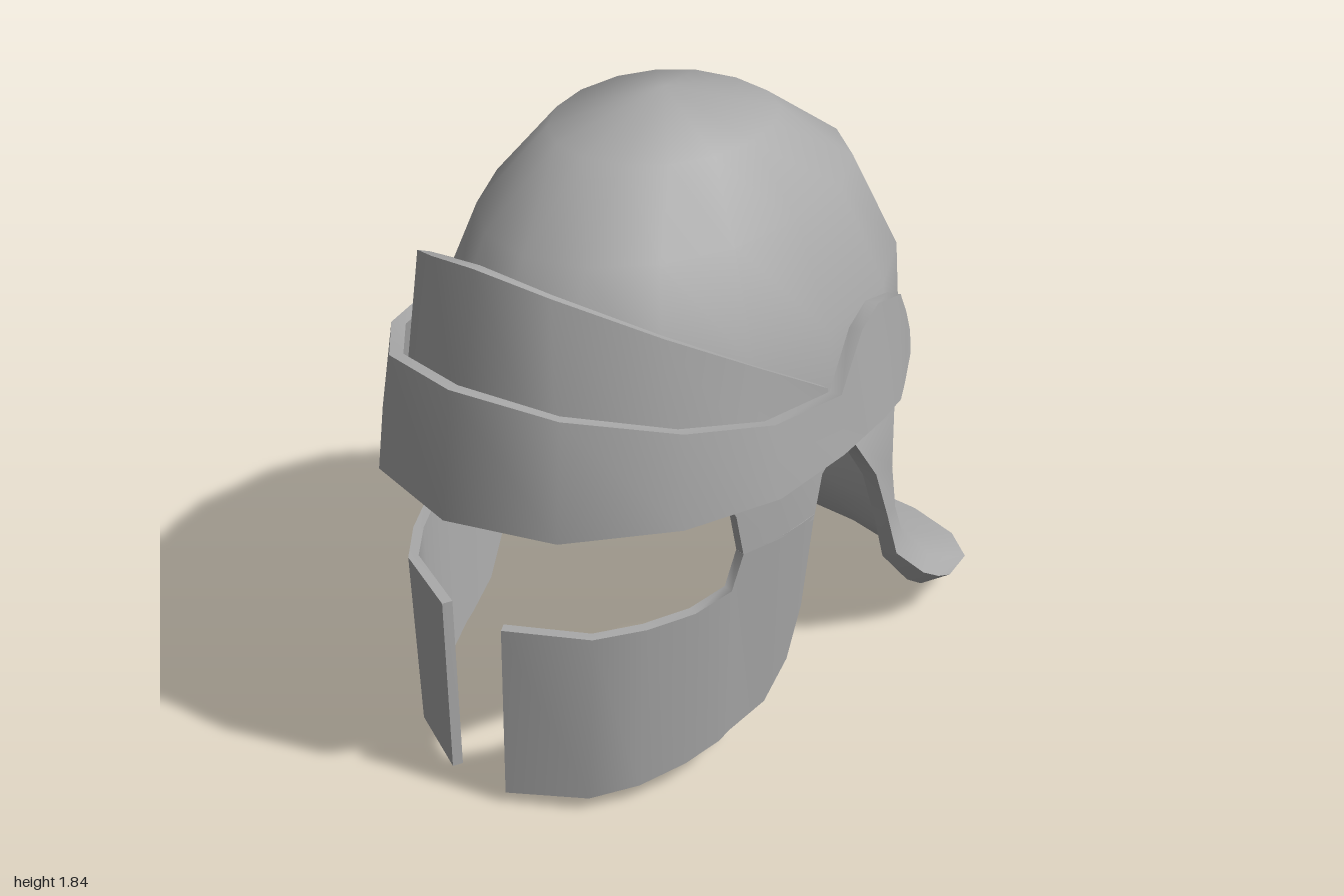
import * as THREE from 'three';
import { mergeVertices, toCreasedNormals } from 'three/addons/utils/BufferGeometryUtils.js';

const steel = new THREE.MeshStandardMaterial({ color: 0xaaaaaa });
steel.name = 'steel grey';

// Thick plate from a grid of points: rows run top to bottom, columns left to right seen from outside.
// thickness(y) gives the depth of the plate at each height.
function shell(rows, thickness, keep = () => true) {
  const cols = rows[0].length;
  const index = [];
  for (let r = 0; r < rows.length - 1; r++) {
    for (let c = 0; c < cols - 1; c++) {
      if (!keep(r, c)) continue;
      const a = r * cols + c, b = a + cols;
      index.push(a, b, b + 1, a, b + 1, a + 1);
    }
  }
  let outer = new THREE.BufferGeometry();
  outer.setAttribute('position', new THREE.Float32BufferAttribute(rows.flat(2), 3));
  outer.setIndex(index);
  outer = mergeVertices(outer);
  outer.computeVertexNormals();

  // Outer face plus an inner face pushed in along the normals
  const p = outer.attributes.position, n = outer.attributes.normal, count = p.count;
  const pos = [...p.array];
  for (let i = 0; i < count; i++) {
    const t = thickness(p.getY(i));
    pos.push(p.getX(i) - n.getX(i) * t, p.getY(i) - n.getY(i) * t, p.getZ(i) - n.getZ(i) * t);
  }
  const src = outer.index.array, faces = [], edges = new Map();
  for (let i = 0; i < src.length; i += 3) {
    const t = [src[i], src[i + 1], src[i + 2]];
    if (new Set(t).size < 3) continue;
    faces.push(...t, t[2] + count, t[1] + count, t[0] + count);
    t.forEach((a, k) => edges.set(`${a},${t[(k + 1) % 3]}`, [a, t[(k + 1) % 3]]));
  }
  // Rim along every open edge
  for (const [a, b] of edges.values()) {
    if (edges.has(`${b},${a}`)) continue;
    faces.push(b, a, a + count, b, a + count, b + count);
  }
  const geo = new THREE.BufferGeometry();
  geo.setAttribute('position', new THREE.Float32BufferAttribute(pos, 3));
  geo.setIndex(faces);
  return toCreasedNormals(geo, 1.0);
}

const mirrorRow = row => row.map(([x, y, z]) => [-x, y, z]).reverse();
const bothSides = row => [...mirrorRow(row).slice(0, -1), ...row];

function part(name, geometry) {
  const mesh = new THREE.Mesh(geometry, steel);
  mesh.name = name;
  return mesh;
}

// Skull bowl that runs on into the flared neck guard at the back
function bowl() {
  const SEG = 16;
  // y, half width, front z, back z
  const dome = [
    [1.84, 0, 0.05, 0.05], [1.755, 0.29, 0.4, -0.28], [1.565, 0.44, 0.65, -0.56],
    [1.27, 0.555, 0.79, -0.72], [1.1, 0.58, 0.82, -0.71], [0.93, 0.585, 0.85, -0.7],
  ];
  // side edge x, y, z, then centre back y, z, then sideways shift
  const neck = [
    [0.583, 0.875, -0.06, 0.8, -0.685, 0], [0.575, 0.71, -0.19, 0.57, -0.545, 0],
    [0.57, 0.53, -0.27, 0.44, -0.52, 0], [0.575, 0.36, -0.34, 0.355, -0.57, -0.01],
    [0.605, 0.23, -0.47, 0.25, -0.67, -0.02], [0.617, 0.185, -0.54, 0.16, -0.83, -0.02],
    [0.6, 0.145, -0.62, 0.07, -1.0, -0.01],
  ];
  // Directions round the bowl; the back half is a little squarer than an ellipse
  const square = v => Math.sign(v) * Math.abs(v) ** 0.9;
  const directions = Array.from({ length: SEG + 1 }, (_, i) => {
    const a = (i / SEG) * Math.PI * 2, s = Math.sin(a), c = Math.cos(a);
    return c < 0 ? [square(s), square(c)] : [s, c];
  });
  const rows = dome.map(([y, w, zf, zb], r) => directions.map(([s, c]) => {
    // the lowest row arches down slightly over the ears
    const drop = r === dome.length - 1 ? 0.02 * s * s : 0;
    return [w * s, y - drop, 0.05 + c * (c > 0 ? zf - 0.05 : 0.05 - zb)];
  }));
  for (const [ex, ey, ez, by, bz, shift] of neck) {
    rows.push(directions.map(([s, c]) => {
      const k = Math.max(0, -c);
      return [shift + ex * s, ey + (by - ey) * k, ez + (bz - ez) * k];
    }));
  }
  const keep = (r, c) => r < dome.length - 1 || (c >= SEG / 4 && c < SEG * 3 / 4);
  // the plate thickens towards the lip of the neck guard
  return shell(rows, y => 0.04 + 0.045 * Math.max(0, 1 - y / 0.4), keep);
}

// Brow band with rounded ear ends: [bottom point, top point] from the front round to the ear
function browBand() {
  const half = [
    [[0, 0.94, 1.0], [0, 1.31, 0.955]],
    [[0.31, 0.94, 0.91], [0.29, 1.275, 0.865]],
    [[0.53, 0.94, 0.66], [0.505, 1.205, 0.63]],
    [[0.645, 0.945, 0.39], [0.615, 1.155, 0.38]],
    [[0.652, 0.945, 0.1], [0.635, 1.125, 0.1]],
    [[0.645, 0.95, -0.02], [0.615, 1.265, -0.02]],
    [[0.635, 0.95, -0.12], [0.6, 1.3, -0.12]],
    [[0.62, 0.955, -0.23], [0.59, 1.27, -0.25]],
    [[0.6, 0.98, -0.28], [0.59, 1.2, -0.285]],
    [[0.595, 1.06, -0.31], [0.59, 1.13, -0.31]],
  ];
  return shell([bothSides(half.map(c => c[1])), bothSides(half.map(c => c[0]))], () => 0.04);
}

// Upper band, tilted back and tucked behind the brow band, close to the bowl at the sides
function upperBand() {
  const top = [[0, 1.61, 0.845], [0.2, 1.56, 0.78], [0.42, 1.44, 0.6], [0.54, 1.285, 0.35], [0.59, 1.13, 0.1]];
  const bottom = [[0, 1.04, 0.93], [0.26, 1.04, 0.845], [0.46, 1.04, 0.63], [0.56, 1.04, 0.38], [0.592, 1.04, 0.1]];
  return shell([bothSides(top), bothSides(bottom)], () => 0.035);
}

// Cheek guard on the +x side: x, z, top y, bottom y from the front edge back
const cheek = [
  [0.105, 0.91, 0.585, 0.035], [0.33, 0.8, 0.588, 0.045], [0.42, 0.68, 0.592, 0.055],
  [0.485, 0.55, 0.6, 0.08], [0.525, 0.44, 0.63, 0.11], [0.537, 0.405, 0.735, 0.125],
  [0.57, 0.28, 0.74, 0.17], [0.582, 0.2, 0.745, 0.28], [0.587, 0.16, 0.75, 0.45],
  [0.588, 0.145, 0.75, 0.72],
];
// the lower edge draws in towards the jaw
const cheekRows = [
  cheek.map(([x, z, t]) => [x, t, z]),
  cheek.map(([x, z, t, b]) => [x * (1 - 0.13 * (t - b)), b, z]),
];

// Hanging strap from the bowl to the cheek guard: y, front z, rear z
const strapRows = [[0.96, 0.5, -0.02], [0.91, 0.46, 0.04], [0.865, 0.43, 0.11], [0.735, 0.405, 0.145]]
  .map(([y, f, b]) => [[0.537 - (f - 0.405) * 0.3, y, f], [0.57, y, 0.28], [0.588, y, b]]);

export function createModel() {
  const helmet = new THREE.Group();
  helmet.name = 'helmet';
  helmet.add(
    part('bowlAndNeckGuard', bowl()),
    part('browBand', browBand()),
    part('upperBand', upperBand()),
  );
  for (const [side, flip] of [['left', false], ['right', true]]) {
    const rows = grid => (flip ? grid.map(mirrorRow) : grid);
    helmet.add(
      part(side + 'CheekGuard', shell(rows(cheekRows), () => 0.03)),
      part(side + 'CheekStrap', shell(rows(strapRows), () => 0.03)),
    );
  }
  return helmet;
}
